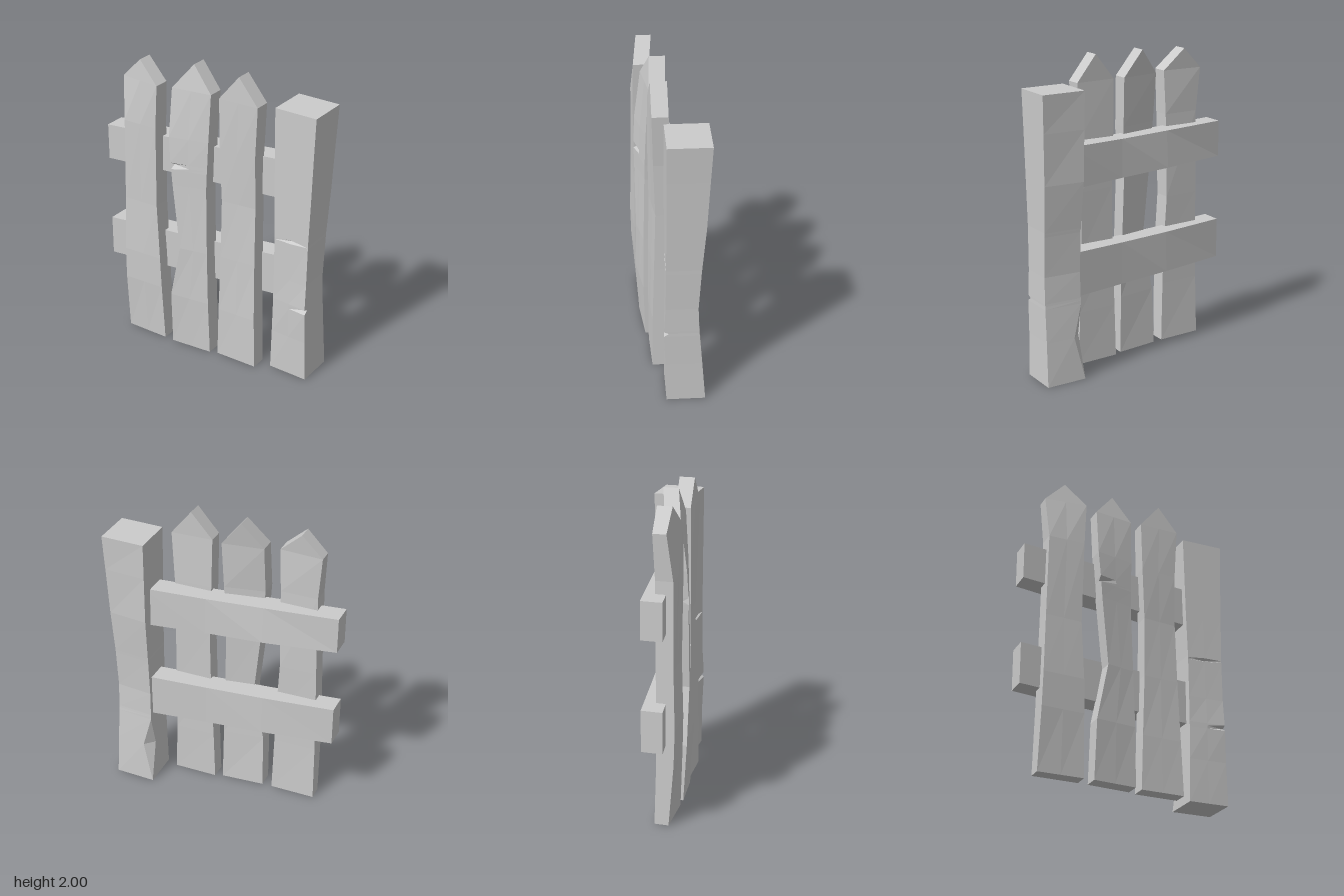
import * as THREE from 'three';

const material = new THREE.MeshStandardMaterial({ color: 0xcccccc, flatShading: true });

// Skin a list of equal-length rings (counterclockwise seen from the far end) and cap both ends.
function loft(name, rings) {
  const n = rings[0].length;
  const index = [];
  for (let r = 0; r < rings.length - 1; r++) {
    for (let i = 0; i < n; i++) {
      const j = (i + 1) % n;
      const a = r * n + i, b = r * n + j, c = b + n, d = a + n;
      index.push(a, b, c, a, c, d);
    }
  }
  const last = (rings.length - 1) * n;
  for (let i = 1; i < n - 1; i++) {
    index.push(0, i + 1, i, last, last + i, last + i + 1);
  }
  const indexed = new THREE.BufferGeometry();
  indexed.setAttribute('position', new THREE.Float32BufferAttribute(rings.flat(2), 3));
  indexed.setIndex(index);
  const geometry = indexed.toNonIndexed();
  geometry.computeVertexNormals();
  const mesh = new THREE.Mesh(geometry, material);
  mesh.name = name;
  return mesh;
}

// Upright timber. Each section: y, left x, right x, front z at left and right, back z at left and right,
// plus optional notch depths at the front left, middle and right, and a chamfer of the back left corner.
function timber(name, sections) {
  return loft(name, sections.map(([y, xl, xr, fl, fr, bl, br, nl = 0, nm = 0, nr = 0, c = 0]) => [
    [xl, y, bl + c],
    [xl, y, fl - nl],
    [(xl + xr) / 2, y, (fl + fr) / 2 - nm],
    [xr, y, fr - nr],
    [xr, y, br],
    [xl + c, y, bl],
  ]));
}

// Slanting rail between the pickets and the post, with a knobbly lower back edge.
function rail(name, stations) {
  return loft(name, stations.map(([x, bottom, top, bulge]) => {
    const front = 0.18 - 0.153 * (x + 0.73);
    const back = front - 0.135;
    return [[x, bottom, front], [x, bottom, back - bulge], [x, top, back], [x, top, front]];
  }));
}

export function createModel() {
  const group = new THREE.Group();
  group.name = 'brokenFence';

  // Pickets: the last section closes to the ridge of the pointed top
  group.add(timber('leftPicket', [
    [0, -0.605, -0.31, 0.18, 0.175, 0.09, 0.08],
    [0.4, -0.598, -0.32, 0.21, 0.19, 0.1, 0.085],
    [0.62, -0.594, -0.325, 0.215, 0.195, 0.1, 0.085],
    [1.0, -0.585, -0.345, 0.205, 0.19, 0.095, 0.08],
    [1.55, -0.575, -0.335, 0.2, 0.195, 0.09, 0.085],
    [1.835, -0.597, -0.322, 0.165, 0.19, 0.08, 0.09],
    [1.97, -0.465, -0.465, 0.165, 0.165, 0.07, 0.07],
  ]));

  group.add(timber('middlePicket', [
    [0, -0.245, 0.037, 0.175, 0.145, 0.075, 0.045],
    [0.38, -0.238, 0.03, 0.195, 0.155, 0.09, 0.05],
    [0.75, -0.165, 0.02, 0.19, 0.15, 0.09, 0.05],
    [1.2, -0.21, 0.01, 0.195, 0.14, 0.09, 0.04],
    [1.305, -0.218, 0.013, 0.197, 0.138, 0.09, 0.04],
    [1.325, -0.219, 0.014, 0.197, 0.137, 0.09, 0.04, 0.04],
    [1.35, -0.222, 0.015, 0.197, 0.136, 0.088, 0.038],
    [1.52, -0.235, 0.02, 0.19, 0.13, 0.085, 0.03],
    [1.835, -0.235, 0.027, 0.15, 0.11, 0.05, 0.01],
    [2.0, -0.103, -0.103, 0.1, 0.1, 0.003, 0.003],
  ]));

  group.add(timber('rightPicket', [
    [0, 0.085, 0.372, 0.125, 0.115, 0.025, 0.015],
    [0.35, 0.095, 0.36, 0.127, 0.112, 0.025, 0.012],
    [0.75, 0.11, 0.35, 0.125, 0.1, 0.022, 0.005],
    [1.15, 0.115, 0.345, 0.12, 0.09, 0.02, 0.0],
    [1.5, 0.102, 0.345, 0.125, 0.102, 0.02, 0.004],
    [1.835, 0.095, 0.363, 0.122, 0.11, 0.025, 0.01],
    [2.0, 0.23, 0.23, 0.112, 0.112, 0.012, 0.012],
  ]));

  // Thick post with two front nicks and a chipped back corner
  group.add(timber('post', [
    [0, 0.45, 0.715, 0.045, 0.045, -0.2, -0.2],
    [0.28, 0.456, 0.708, 0.045, 0.05, -0.185, -0.178, 0, 0, 0, 0.06],
    [0.495, 0.46, 0.704, 0.045, 0.06, -0.172, -0.16],
    [0.515, 0.46, 0.703, 0.045, 0.06, -0.171, -0.158, 0, 0, 0.03],
    [0.53, 0.46, 0.703, 0.045, 0.06, -0.17, -0.157],
    [0.7, 0.461, 0.701, 0.045, 0.05, -0.165, -0.15],
    [0.96, 0.46, 0.702, 0.045, 0.047, -0.178, -0.165],
    [0.972, 0.46, 0.702, 0.045, 0.047, -0.179, -0.166, 0, 0.02, 0],
    [0.985, 0.46, 0.702, 0.045, 0.047, -0.18, -0.167],
    [1.28, 0.452, 0.71, 0.045, 0.045, -0.208, -0.19],
    [1.6, 0.447, 0.718, 0.045, 0.045, -0.213, -0.205],
    [1.835, 0.443, 0.725, 0.045, 0.045, -0.217, -0.217],
  ]));

  // Rails run on into the post
  group.add(rail('upperRail', [
    [-0.73, 1.232, 1.47, 0], [-0.27, 1.232, 1.472, 0.018],
    [0.1, 1.228, 1.475, 0.004], [0.5, 1.222, 1.485, 0],
  ]));
  group.add(rail('lowerRail', [
    [-0.73, 0.53, 0.795, 0], [-0.27, 0.53, 0.797, 0.008],
    [0.1, 0.53, 0.805, 0.002], [0.5, 0.53, 0.817, 0],
  ]));

  return group;
}
